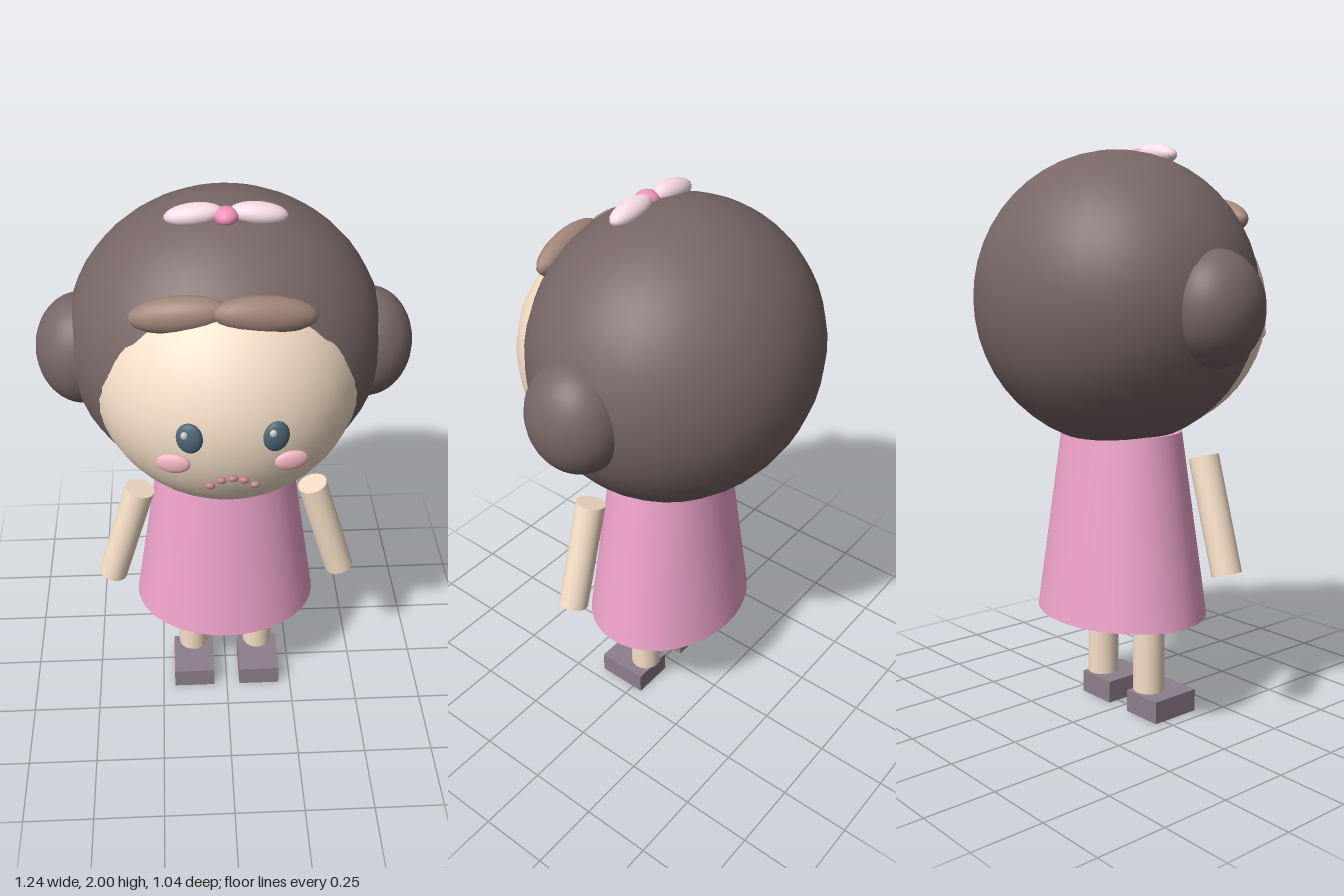
import * as THREE from 'three';

const paint = (color) => new THREE.MeshStandardMaterial({ color });
const MAT = {
  hair: paint(0x786666), fringe: paint(0xa08478), skin: paint(0xf7e0c8),
  dress: paint(0xf0a4cc), shoe: paint(0x8e7e8c), bow: paint(0xf8dce6),
  knot: paint(0xf090b8), eye: paint(0x506878), white: paint(0xffffff),
  cheek: paint(0xf4b8c0), mouth: paint(0xc08088),
};

export function createModel() {
  const model = new THREE.Group();
  model.name = 'doll';

  function add(name, geometry, material, position, rotation = [0, 0, 0], scale = [1, 1, 1]) {
    const mesh = new THREE.Mesh(geometry, material);
    mesh.name = name;
    mesh.position.set(...position);
    mesh.rotation.set(...rotation);
    mesh.scale.set(...scale);
    model.add(mesh);
    return mesh;
  }

  // Ellipsoids share unit spheres, stretched by their radii
  const large = new THREE.SphereGeometry(1, 32, 24);
  const small = new THREE.SphereGeometry(1, 20, 14);
  const blob = (name, mat, pos, radii, rot, geo = small) => add(name, geo, mat, pos, rot, radii);

  // Head: hair cap with the face pushing out of its front
  blob('hair', MAT.hair, [0, 1.48, -0.05], [0.52, 0.5, 0.47], [0, 0, 0], large);
  blob('face', MAT.skin, [0, 1.44, 0.065], [0.44, 0.43, 0.44], [0, 0, 0], large);

  // Fringe: two overlapping locks
  blob('rightFringe', MAT.fringe, [-0.15, 1.768, 0.297], [0.152, 0.057, 0.052], [0, -0.13, 0.13]);
  blob('leftFringe', MAT.fringe, [0.103, 1.772, 0.315], [0.16, 0.057, 0.052], [0, 0.13, -0.12]);

  // Dress, closed at the hem, with a thin collar above it
  add('dress', new THREE.CylinderGeometry(0.235, 0.335, 0.65, 48), MAT.dress,
    [0, 0.705, -0.025], [0, 0, 0], [1, 1, 0.82]);
  add('collar', new THREE.CylinderGeometry(0.19, 0.19, 0.012, 32), MAT.bow, [0, 1.055, -0.015]);

  // Bow knot
  blob('bowKnot', MAT.knot, [0, 1.966, 0.068], [0.038, 0.028, 0.04]);

  const armGeometry = new THREE.CylinderGeometry(0.052, 0.052, 0.405, 24);
  const legGeometry = new THREE.CylinderGeometry(0.056, 0.056, 0.32, 24);
  const shoeGeometry = new THREE.BoxGeometry(0.155, 0.08, 0.19);

  // Paired parts
  for (const [side, s] of [['left', 1], ['right', -1]]) {
    blob(side + 'HairBun', MAT.hair, [s * 0.47, 1.463, -0.035], [0.15, 0.188, 0.167], [0, 0, 0], large);
    blob(side + 'BowLoop', MAT.bow, [s * 0.097, 1.966, 0.052], [0.09, 0.034, 0.04], [0, 0, s * -0.1]);
    blob(side + 'Eye', MAT.eye, [s * 0.128, 1.465, 0.491], [0.041, 0.052, 0.02], [0, s * 0.25, 0]);
    blob(side + 'EyeGlint', MAT.white, [s * 0.13 - 0.013, 1.487, 0.508], [0.011, 0.013, 0.009]);
    blob(side + 'Cheek', MAT.cheek, [s * 0.178, 1.36, 0.471], [0.053, 0.034, 0.016], [0, s * 0.2, 0]);
    add(side + 'Arm', armGeometry, MAT.skin, [s * 0.36, 0.763, 0.085], [0, 0, s * 0.29]);
    add(side + 'Leg', legGeometry, MAT.skin, [s * 0.127, 0.26, -0.005]);
    add(side + 'Shoe', shoeGeometry, MAT.shoe, [s * 0.127, 0.04, 0.055]);
  }

  // Downturned mouth made of five beads
  for (let i = -2; i <= 2; i++) {
    blob('mouthBead', MAT.mouth, [i * 0.034, 1.318 - 0.007 * i * i, 0.5 - 0.001 * i * i], [0.015, 0.011, 0.01]);
  }

  return model;
}
